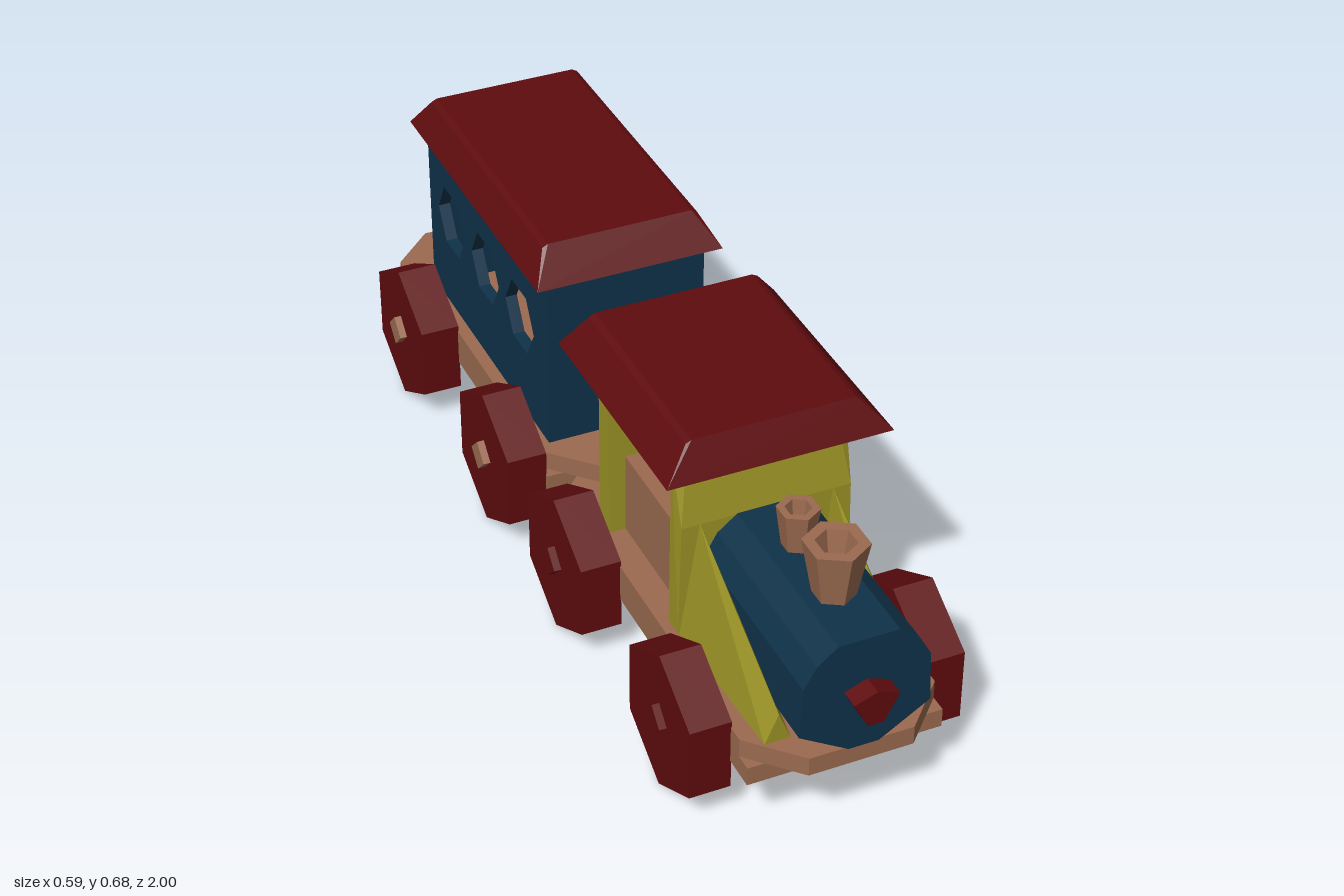
import * as THREE from 'three';
import { ConvexGeometry } from 'three/addons/geometries/ConvexGeometry.js';

const material = (name, color) => {
  const m = new THREE.MeshStandardMaterial({ color });
  m.name = name;
  m.flatShading = true;
  return m;
};

export function createModel() {
  const red = material('dark red', 0x5f0c0e);
  const blue = material('navy blue', 0x0f3249);
  const yellow = material('olive yellow', 0x9c9326);
  const brown = material('wood brown', 0x9a6a4f);

  const train = new THREE.Group();
  train.name = 'toyTrain';
  const engine = new THREE.Group();
  engine.name = 'engine';
  const coach = new THREE.Group();
  coach.name = 'coach';
  train.add(engine, coach);

  const add = (parent, name, geometry, mat, x = 0, y = 0, z = 0) => {
    const mesh = new THREE.Mesh(geometry, mat);
    mesh.name = name;
    mesh.position.set(x, y, z);
    parent.add(mesh);
    return mesh;
  };
  const box = (parent, name, mat, w, y0, y1, z0, z1, x = 0) =>
    add(parent, name, new THREE.BoxGeometry(w, y1 - y0, z1 - z0), mat, x, (y0 + y1) / 2, (z0 + z1) / 2);
  const hull = (parent, name, mat, pts) =>
    add(parent, name, new ConvexGeometry(pts.map((p) => new THREE.Vector3(...p))), mat);
  // mirrors each point across x
  const both = (pts) => pts.flatMap(([x, y, z]) => [[x, y, z], [-x, y, z]]);
  const shapeOf = (pts) => new THREE.Shape(pts.map(([x, y]) => new THREE.Vector2(x, y)));
  const extrude = (shape, depth) => new THREE.ExtrudeGeometry(shape, { depth, bevelEnabled: false });

  // Plate with one tapered end
  const plate = (parent, name, y0, y1, square, shoulder, tip) =>
    hull(parent, name, brown, both([y0, y1].flatMap((y) => [
      [0.197, y, square], [0.197, y, shoulder], [0.105, y, tip],
    ])));

  // Chassis, axles, wheels and coupling peg shared by both cars
  const wheelGeo = new THREE.CylinderGeometry(0.155, 0.155, 0.083, 6).rotateZ(Math.PI / 2);
  wheelGeo.rotateX(Math.PI / 2);
  const underframe = (car, front, wheels, leftAxle, rightAxle) => {
    plate(car, 'upperPlate', 0.16, 0.2, front - 0.86, front - 0.095, front);
    plate(car, 'lowerPlate', 0.12, 0.16, front - 0.06, front - 0.925, front - 1.015);
    add(car, 'couplingPeg', new THREE.CylinderGeometry(0.02, 0.02, 0.1, 5), red, 0, 0.167, front - 0.97);
    for (const z of wheels) {
      for (const side of [-1, 1]) {
        add(car, 'wheel', wheelGeo, red, side * 0.2365, 0.135, z);
        const axle = new THREE.CylinderGeometry(0.034, 0.034, 0.293, 4).rotateZ(Math.PI / 2);
        add(car, 'axle', axle, side > 0 ? leftAxle : rightAxle, side * 0.1465, 0.145, z);
      }
    }
  };
  underframe(engine, 0.955, [0.69, 0.19], brown, red);
  underframe(coach, 0.015, [-0.188, -0.682], brown, brown);

  // Hipped roof
  const roof = (car, halfLow, halfTop, low, top) =>
    hull(car, 'roof', red, both([
      ...low.map((z) => [halfLow, 0.588, z]),
      ...top.map((z) => [halfTop, 0.652, z]),
      ...top.map((z) => [halfTop - 0.012, 0.658, z]),
    ]));
  roof(engine, 0.226, 0.175, [0.605, 0.102], [0.57, 0.132]);
  roof(coach, 0.198, 0.165, [-0.072, -0.787], [-0.125, -0.74]);

  // Boiler and nose
  const half = [[0.03, 0.2], [0.13, 0.262], [0.125, 0.37], [0.1, 0.415], [0.06, 0.447]];
  const outline = [...half, ...half.map(([x, y]) => [-x, y]).reverse()];
  add(engine, 'boiler', extrude(shapeOf(outline), 0.43), blue, 0, 0, 0.53);
  const nose = [[0, 0.355], [-0.045, 0.338], [-0.016, 0.282], [0.016, 0.282], [0.045, 0.338]];
  add(engine, 'noseKnob', extrude(shapeOf(nose), 0.06), red, 0, 0, 0.94);

  // Hollow flared chimneys
  const chimney = (name, z, r0, r1, height) => {
    const pts = [[0, 0], [r0, 0], [r1, height], [r1 * 0.62, height], [r0 * 0.6, height * 0.4], [0, height * 0.4]];
    add(engine, name, new THREE.LatheGeometry(pts.map(([x, y]) => new THREE.Vector2(x, y)), 6), brown, 0, 0.443, z);
  };
  chimney('frontChimney', 0.823, 0.04, 0.062, 0.118);
  chimney('rearChimney', 0.675, 0.029, 0.041, 0.088);

  // Wedges beside the boiler
  for (const s of [-1, 1]) {
    hull(engine, 'sideWedge', yellow, [
      [s * 0.11, 0.2, 0.89], [s * 0.162, 0.2, 0.89], [s * 0.135, 0.262, 0.89],
      [s * 0.11, 0.2, 0.53], [s * 0.175, 0.2, 0.53], [s * 0.135, 0.447, 0.55],
    ]);
  }

  // Cab walls and the block between them
  hull(engine, 'cabFrontWall', yellow, both([
    [0.177, 0.2, 0.507], [0.175, 0.59, 0.51], [0.177, 0.2, 0.55],
    [0.172, 0.445, 0.55], [0.15, 0.59, 0.522],
  ]));
  box(engine, 'cabBackWall', yellow, 0.35, 0.2, 0.592, 0.175, 0.22);
  box(engine, 'cabSeat', brown, 0.28, 0.2, 0.375, 0.215, 0.51);

  // Coach walls, with three hexagonal windows on each side
  const wall = shapeOf([[-0.76, 0.2], [-0.1, 0.2], [-0.1, 0.592], [-0.76, 0.592]]);
  for (const z of [-0.247, -0.438, -0.632]) {
    const hole = new THREE.Path();
    hole.setFromPoints(Array.from({ length: 6 }, (_, i) => {
      const a = (-i * Math.PI) / 3;
      return new THREE.Vector2(z + 0.077 * Math.cos(a), 0.417 + 0.077 * Math.sin(a));
    }));
    wall.holes.push(hole);
  }
  const wallGeo = extrude(wall, 0.025).rotateY(-Math.PI / 2);
  add(coach, 'leftWall', wallGeo, blue, 0.17);
  add(coach, 'rightWall', wallGeo, blue, -0.145);
  box(coach, 'frontWall', blue, 0.29, 0.2, 0.592, -0.125, -0.1);
  box(coach, 'backWall', blue, 0.29, 0.2, 0.592, -0.76, -0.735);

  return train;
}
